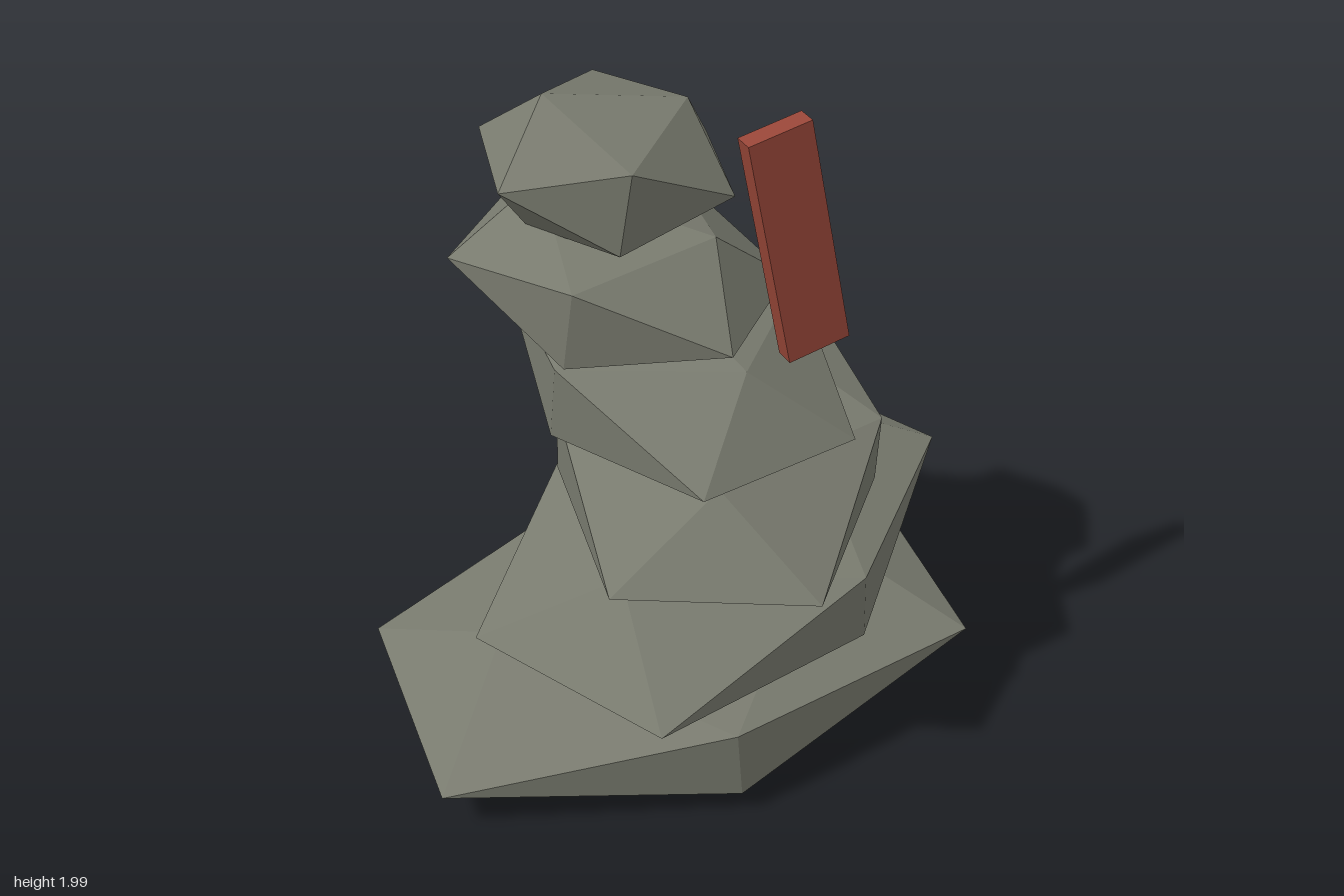
import * as THREE from 'three';

export function createModel() {
  const model = new THREE.Group();
  model.name = 'stoneCairn';

  const stone = new THREE.MeshStandardMaterial({ color: 0x787a6e });
  stone.name = 'grey stone';
  const red = new THREE.MeshStandardMaterial({ color: 0x974638 });
  red.name = 'red paint';

  // Stacked stones, each smaller and turned further than the one below.
  // Per stone: centre x, slope along x, slope along z
  const stones = [
    [-0.05, 0.10, -0.08],
    [0.088, 0.082, -0.137],
    [0.098, 0.036, -0.173],
    [-0.025, -0.02, -0.178],
    [-0.18, -0.077, -0.142],
    [-0.21, -0.12, -0.09],
  ];
  stones.forEach(([x, slopeX, slopeZ], i) => {
    const mesh = new THREE.Mesh(new THREE.IcosahedronGeometry(1, 0), stone);
    mesh.name = `stone${i + 1}`;
    mesh.scale.set(0.92 - 0.114 * i, 0.22, 0.667 - 0.072 * i);
    mesh.rotation.set(-slopeZ, 0.6 * i, slopeX, 'XZY');
    mesh.position.set(x, 0.243 + 0.3095 * i, 0);
    model.add(mesh);
  });

  // Leaning marker board near the top
  const board = new THREE.Mesh(new THREE.BoxGeometry(0.178, 0.66, 0.057), red);
  board.name = 'markerBoard';
  board.position.set(0.196, 1.625, 0.267);
  board.rotation.set(0, 0.1, 0.2, 'YZX');
  model.add(board);

  return model;
}
